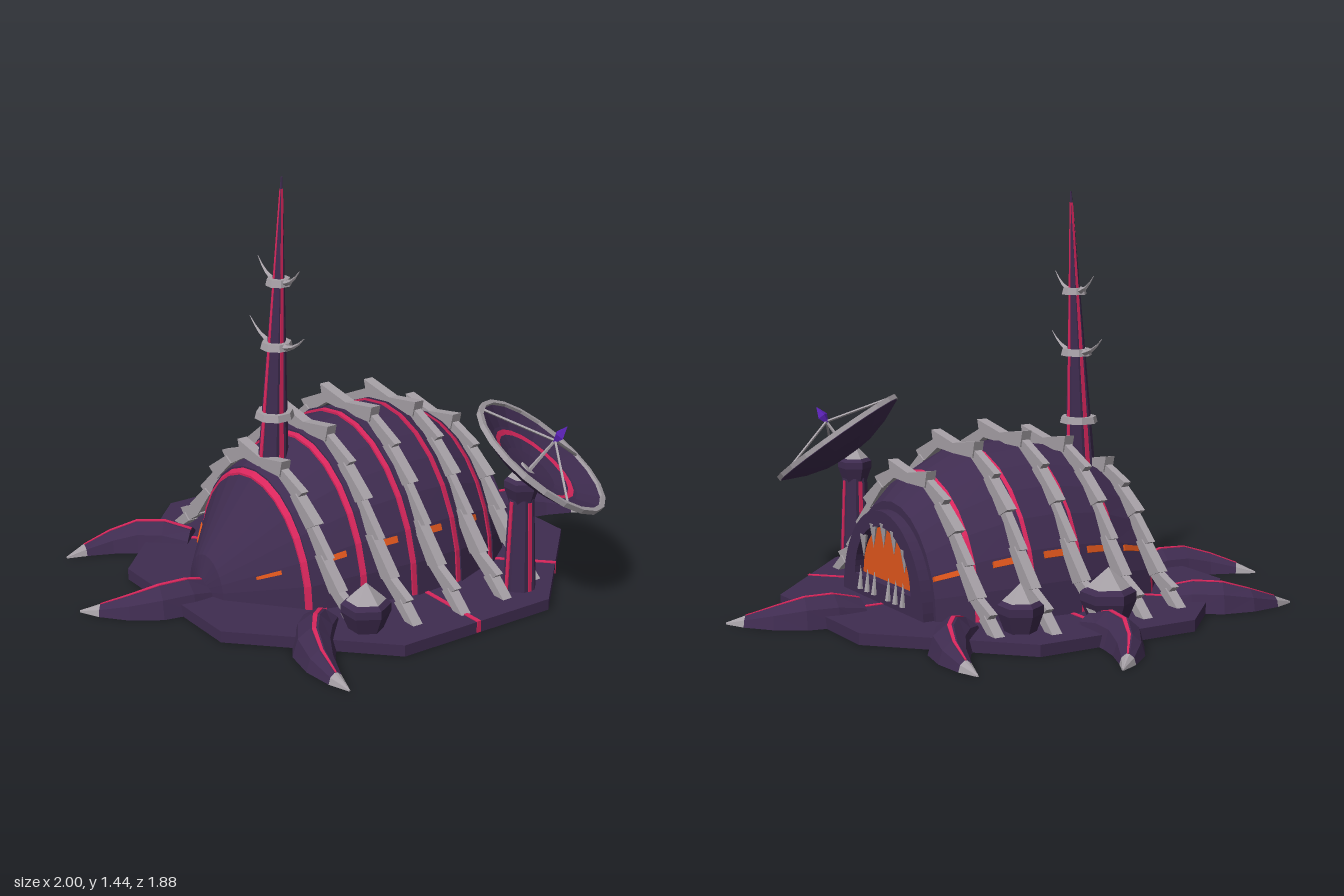
import * as THREE from 'three';

const mat = (name, color) => Object.assign(new THREE.MeshStandardMaterial({ color }), { name });
const V = (x, y, z) => new THREE.Vector3(x, y, z);
const CZ = 0.055; // z of the hull's axis
const FLOOR = 0.035;

// Faceted normals
function flat(geo) {
  const g = geo.index ? geo.toNonIndexed() : geo;
  g.computeVertexNormals();
  return g;
}

function add(parent, name, geo, material, x = 0, y = 0, z = 0) {
  const m = new THREE.Mesh(flat(geo), material);
  m.name = name;
  m.position.set(x, y, z);
  parent.add(m);
  return m;
}

// Closed solid through a list of rings; winding is fixed by its volume
function loft(rings) {
  const tris = [], n = rings[0].length;
  for (let i = 0; i + 1 < rings.length; i++) for (let j = 0; j < n; j++) {
    const k = (j + 1) % n, a = rings[i], b = rings[i + 1];
    tris.push([a[j], a[k], b[k]], [a[j], b[k], b[j]]);
  }
  const cap = (r, flip) => {
    const c = r.reduce((s, p) => s.add(p), V(0, 0, 0)).divideScalar(n);
    r.forEach((p, j) => tris.push(flip ? [c, r[(j + 1) % n], p] : [c, p, r[(j + 1) % n]]));
  };
  cap(rings[0], true);
  cap(rings[rings.length - 1], false);
  const o = rings[0][0];
  const vol = tris.reduce((s, [a, b, c]) =>
    s + a.clone().sub(o).dot(b.clone().sub(o).cross(c.clone().sub(o))), 0);
  const pts = tris.flatMap(([a, b, c]) => (vol < 0 ? [a, c, b] : [a, b, c]));
  return new THREE.BufferGeometry().setFromPoints(pts);
}

// Hull stations: x, half width, height
const STATIONS = [[-0.615, 0.08, 0.1], [-0.41, 0.33, 0.375], [-0.23, 0.4, 0.48], [-0.05, 0.442, 0.525],
  [0.14, 0.442, 0.525], [0.33, 0.385, 0.45], [0.49, 0.285, 0.33]];
function hullAt(x) {
  let i = 0;
  while (i < STATIONS.length - 2 && x > STATIONS[i + 1][0]) i++;
  const [p, q] = [STATIONS[i], STATIONS[i + 1]], t = (x - p[0]) / (q[0] - p[0]);
  return [p[1] + (q[1] - p[1]) * t, p[2] + (q[2] - p[2]) * t];
}
function hullPoint(x, angle, off) {
  const [a, b] = hullAt(x);
  return V(x, FLOOR + (b + off) * Math.sin(angle), CZ + (a + off) * Math.cos(angle));
}
const hullRing = (x, off) => Array.from({ length: 15 }, (_, j) => hullPoint(x, (j / 14) * Math.PI, off));

export function createModel() {
  const model = new THREE.Group();
  model.name = 'organicOutpost';
  const hide = mat('dark purple hide', 0x3f2c50);
  const bone = mat('bone grey', 0xa6a0a6);
  const pink = mat('glowing pink', 0xd8265c);
  const orange = mat('glowing orange', 0xe0561c);
  const violet = mat('violet crystal', 0x5c22b8);

  // Octagonal base with radial glowing veins
  add(model, 'base', new THREE.CylinderGeometry(0.795, 0.795, 0.04, 8).rotateY(Math.PI / 8), hide, 0, 0.02, CZ);
  for (let i = 0; i < 8; i++) {
    const vein = add(model, 'baseVein', new THREE.BoxGeometry(0.34, 0.041, 0.016).translate(0.567, 0, 0), pink, 0, 0.0225, CZ);
    vein.rotation.y = (i * Math.PI) / 4;
  }

  // Curved horns around the base: radius, sideways bend, half width, height
  const HORN = [[0.58, 0, 0.076, 0.075], [0.68, 0, 0.076, 0.1], [0.78, 0.014, 0.07, 0.098],
    [0.87, 0.055, 0.052, 0.07], [0.95, 0.115, 0.027, 0.035], [1.0, 0.167, 0.003, 0.006]];
  const SECTION = [[-1, 0], [-0.75, 0.65], [-0.2, 1], [0.2, 1], [0.75, 0.65], [1, 0]];
  const hornRing = (i, side, shape) => {
    const [r, l, w, h] = HORN[i], p = HORN[Math.max(i - 1, 0)], q = HORN[Math.min(i + 1, 5)];
    const d = Math.hypot(q[0] - p[0], q[1] - p[1]), tx = (q[0] - p[0]) / d, tz = (q[1] - p[1]) / d;
    return shape(w, h).map(([s, y]) => V(r - tz * s, y, (l + tx * s) * side));
  };
  const body = (w, h) => SECTION.map(([s, y]) => [s * w, y * h]);
  const line = (w, h) => [[-0.1 * w, h - 0.004], [-0.1 * w, h + 0.003], [0.1 * w, h + 0.003], [0.1 * w, h - 0.004]];
  for (const [turn, side] of [[0, 1], [1, -1], [2, 1], [3, -1], [4, 1], [5, -1]]) {
    const horn = new THREE.Group();
    horn.name = 'baseHorn';
    horn.position.z = CZ;
    horn.rotation.y = (turn * Math.PI) / 4;
    add(horn, 'hornBody', loft([0, 1, 2, 3, 4].map(i => hornRing(i, side, body))), hide);
    add(horn, 'hornTip', loft([4, 5].map(i => hornRing(i, side, body))), bone);
    add(horn, 'hornVein', loft([0, 1, 2, 3, 4].map(i => hornRing(i, side, line))), pink);
    model.add(horn);
  }

  // Domed hull: tapered tail, overlapping plates, glowing seams
  add(model, 'hullTail', loft([hullRing(-0.63, -0.05), hullRing(-0.6, 0.01), hullRing(-0.41, 0)]), hide);
  const ends = [-0.41, -0.23, -0.05, 0.14, 0.33, 0.45];
  for (let i = 0; i < 5; i++) {
    const x = ends[i];
    add(model, 'hullSeam', loft([hullRing(x - 0.004, 0.008), hullRing(x + 0.014, 0.008)]), pink);
    add(model, 'hullPlate', loft([hullRing(x + 0.014, 0.014), hullRing(ends[i + 1], 0)]), hide);
  }
  // Slit lights along both flanks
  for (const x of [-0.49, -0.31, -0.13, 0.05, 0.23, 0.41]) for (const side of [1, -1]) {
    const ring = px => [[0.385, -0.01], [0.385, 0.013], [0.43, 0.013], [0.43, -0.01]]
      .map(([t, o]) => hullPoint(px, side > 0 ? t : Math.PI - t, o));
    const w = x < -0.4 ? 0.028 : 0.038;
    add(model, 'slitLight', loft([ring(x - w), ring(x + w)]), orange);
  }

  // Mouth: arched frame, glowing panel and teeth (facing +x)
  const arch = (path, a, b, y0) => path.moveTo(-a, y0).lineTo(a, y0).absellipse(0, y0, a, b, 0, Math.PI, false);
  const frame = arch(new THREE.Shape(), 0.295, 0.335, 0.03);
  frame.holes.push(arch(new THREE.Path(), 0.205, 0.2, 0.11));
  add(model, 'mouthFrame', new THREE.ExtrudeGeometry(frame, { depth: 0.045, bevelEnabled: false, curveSegments: 14 })
    .rotateY(Math.PI / 2), hide, 0.445, 0, CZ);
  add(model, 'mouthGlow', new THREE.ShapeGeometry(arch(new THREE.Shape(), 0.21, 0.205, 0.108), 14)
    .rotateY(Math.PI / 2), orange, 0.456, 0, CZ);
  for (let i = -2; i <= 2; i++) {
    const z = i * 0.075, top = 0.115 + 0.2 * Math.sqrt(1 - (z / 0.205) ** 2);
    add(model, 'upperTooth', new THREE.ConeGeometry(0.016, 0.085, 5).rotateX(Math.PI), bone, 0.482, top - 0.035, CZ + z);
  }
  for (let i = -3; i <= 3; i++) {
    if (i) add(model, 'lowerTooth', new THREE.ConeGeometry(0.013, 0.085, 5), bone, 0.492, 0.105, CZ + i * 0.052);
  }

  // Bone ribs arching over the hull, each a chain of spurred segments
  const RIB = [[0, 0.575], [0.13, 0.575], [0.24, 0.5], [0.33, 0.4], [0.41, 0.28], [0.49, 0.16], [0.58, 0.09], [0.65, 0.03]];
  for (const x of [-0.36, -0.18, 0, 0.19, 0.37]) for (const side of [1, -1]) {
    const [a, b] = hullAt(x), su = 0.35 + (0.65 * a) / 0.442, sy = b / 0.525;
    const pts = RIB.map(([u, y]) => new THREE.Vector2(u * su, 0.04 + (y - 0.03) * sy));
    for (let i = 0; i + 1 < pts.length; i++) {
      const p = pts[i], q = pts[i + 1], d = q.clone().sub(p).normalize(), n = new THREE.Vector2(-d.y, d.x);
      const at = (o, along, out) => o.clone().addScaledVector(d, along).addScaledVector(n, out);
      const spur = i > 5 ? 0.012 : 0.04;
      const shape = new THREE.Shape([at(p, -0.01, -0.022), at(q, 0.01, -0.018), at(q, 0.025, spur), at(p, 0, 0.014)]);
      const depth = i % 2 ? 0.028 : 0.038;
      add(model, 'rib', new THREE.ExtrudeGeometry(shape, { depth, bevelEnabled: false })
        .translate(0, 0, -depth / 2).rotateY((-side * Math.PI) / 2), bone, x, 0, CZ);
    }
  }

  // Leaning spire with glowing stripes, collars and paired crescent spikes
  const spire = y => { const t = (y - 0.35) / 1.09; return [-0.327 + 0.05 * t, 0.056 * (1 - t) + 0.003]; };
  const spireRing = y => {
    const [cx, r] = spire(y);
    return Array.from({ length: 8 }, (_, j) => {
      const t = ((j + 0.5) * Math.PI) / 4;
      return V(cx + r * Math.cos(t), y, CZ + r * Math.sin(t));
    });
  };
  add(model, 'spire', loft([spireRing(0.35), spireRing(1.44)]), hide);
  for (let s = 0; s < 4; s++) {
    const c = Math.cos((s * Math.PI) / 2), n = Math.sin((s * Math.PI) / 2);
    const ring = y => {
      const [cx, r] = spire(y), w = 0.003 + r * 0.1;
      return [[-w, 0.85], [w, 0.85], [w, 0.99], [-w, 0.99]]
        .map(([e, k]) => V(cx + c * r * k - n * e, y, CZ + n * r * k + c * e));
    };
    add(model, 'spireStripe', loft([ring(0.42), ring(1.4)]), pink);
  }
  for (const [y, reach] of [[0.62, 0], [0.865, 0.165], [1.085, 0.125]]) {
    const [cx, r] = spire(y);
    add(model, 'spireCollar', new THREE.CylinderGeometry(r + 0.018, r + 0.024, 0.024, 8).rotateY(Math.PI / 8), bone, cx, y, CZ);
    if (!reach) continue;
    for (const side of [1, -1]) {
      const rings = [0, 0.25, 0.5, 0.75, 1].map(t => {
        const u = r + (reach - r) * t, h = y + 0.062 * t * t, w = 0.011 * (1 - t) + 0.001;
        return [0, 1, 2, 3].map(k => [Math.cos((k * Math.PI) / 2) * w, Math.sin((k * Math.PI) / 2) * w])
          .map(([e, f]) => V(cx + e, h + f, CZ + side * (u - f * t * 0.8)));
      });
      add(model, 'spireCrescent', loft(rings), bone);
    }
  }

  // Pods with bone caps
  function pod(x, y, z, r, h) {
    const prof = [[0, 0], [0.7, 0], [1, 0.38], [1, 0.55], [0.7, 0.68], [0, 0.68]].map(([a, b]) => new THREE.Vector2(a * r, b * h));
    add(model, 'pod', new THREE.LatheGeometry(prof, 6), hide, x, y, z);
    add(model, 'podCap', new THREE.ConeGeometry(r * 0.9, h * 0.42, 6), bone, x, y + h * 0.8, z);
  }
  pod(-0.33, 0.04, 0.61, 0.084, 0.16);
  pod(-0.055, 0.04, -0.53, 0.094, 0.18);
  pod(0.27, 0.04, -0.5, 0.076, 0.16);

  // Dish mast
  add(model, 'mast', new THREE.CylinderGeometry(0.045, 0.06, 0.34, 8).rotateY(Math.PI / 8), hide, 0.29, 0.2, 0.65);
  for (let s = 0; s < 4; s++) {
    const stripe = add(model, 'mastStripe', new THREE.BoxGeometry(0.014, 0.32, 0.008)
      .rotateX(-0.041).translate(0, 0, 0.0485), pink, 0.29, 0.2, 0.65);
    stripe.rotation.y = (s * Math.PI) / 2;
  }
  pod(0.29, 0.355, 0.65, 0.062, 0.14);

  // Tilted dish with rim, glowing ring, struts and crystal
  const dish = new THREE.Group();
  dish.name = 'dish';
  dish.position.set(0.34, 0.52, 0.69);
  dish.quaternion.setFromUnitVectors(V(0, 1, 0), V(0.42, 0.8, 0.42).normalize());
  const turn = (pts, n = 20) => new THREE.LatheGeometry(pts.map(p => new THREE.Vector2(...p)), n);
  add(dish, 'dishBowl', turn([[0, -0.085], [0.1, -0.074], [0.18, -0.051], [0.262, -0.014], [0.262, 0],
    [0.18, -0.038], [0.1, -0.06], [0, -0.07]]), hide);
  add(dish, 'dishRim', turn([[0.252, -0.012], [0.268, -0.012], [0.268, 0.006], [0.252, 0.006], [0.252, -0.012]]), bone);
  add(dish, 'dishRing', turn([[0.166, -0.038], [0.146, -0.0435]]), pink);
  for (const deg of [225, 345, 105]) {
    const t = (deg * Math.PI) / 180;
    const path = new THREE.LineCurve3(V(0.258 * Math.cos(t), 0, 0.258 * Math.sin(t)), V(0, 0.07, 0));
    add(dish, 'dishStrut', new THREE.TubeGeometry(path, 1, 0.005, 4), bone);
  }
  add(dish, 'dishFeed', new THREE.CylinderGeometry(0.005, 0.008, 0.14, 5), bone, 0, 0, 0);
  add(dish, 'dishCrystal', new THREE.OctahedronGeometry(0.02).scale(1, 2.1, 1), violet, 0, 0.095, 0);
  model.add(dish);

  return model;
}
